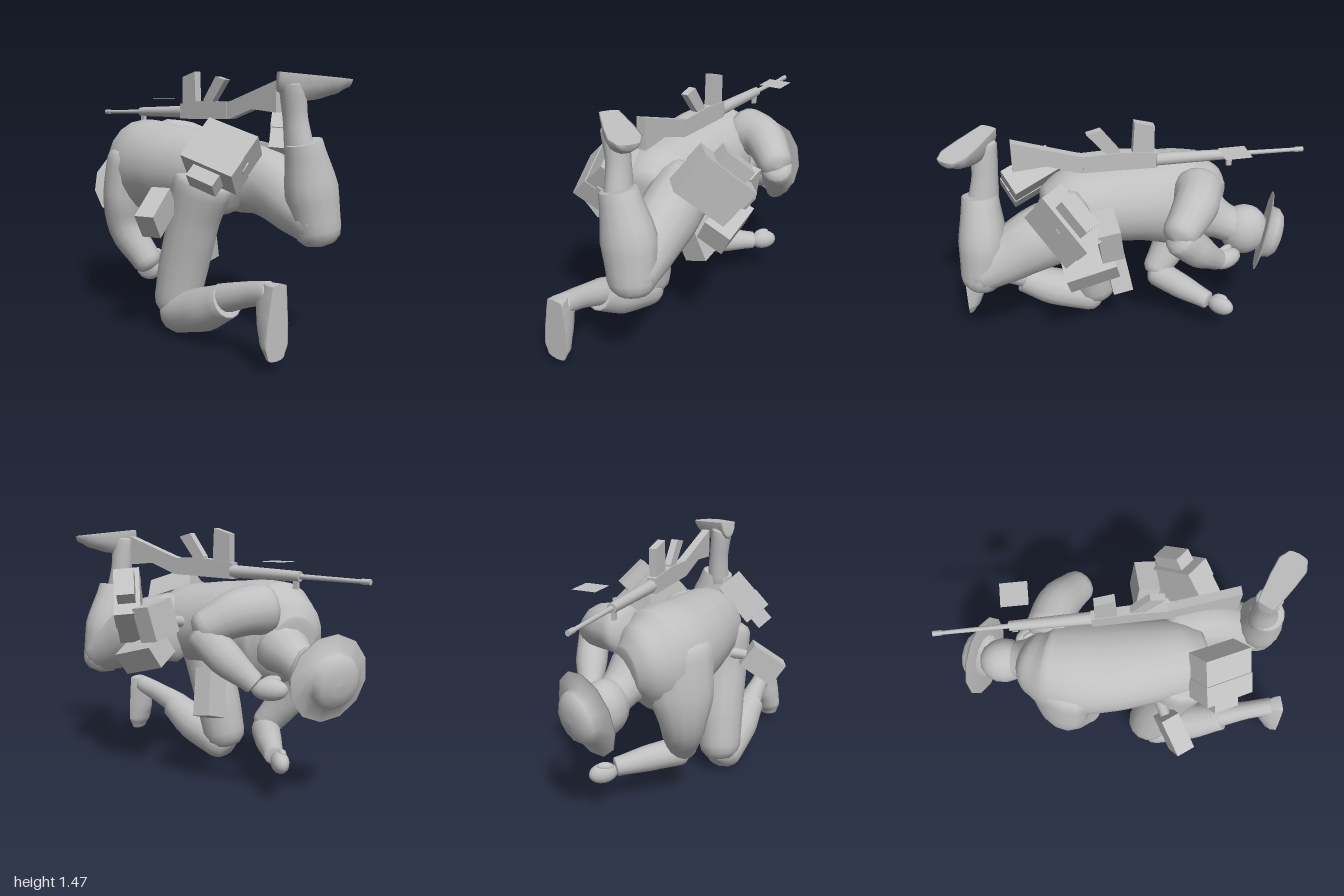
import * as THREE from 'three';

const V = (x, y, z) => new THREE.Vector3(x, y, z);
const grey = new THREE.MeshStandardMaterial({ color: 0xc0c0c0, side: THREE.DoubleSide });
grey.name = 'plainGrey';

// Lofted tube. Sections are [x, y, z, radius in the bend plane, radius along ref].
function loft(ref, sections, domeA = 0.6, domeB = 0.6, sides = 14, steps = 4) {
  const curve = new THREE.CatmullRomCurve3(sections.map(s => V(s[0], s[1], s[2])));
  const n = (sections.length - 1) * steps, rings = [];
  for (let i = 0; i <= n; i++) {
    const t = i / n, k = Math.min(Math.floor(i / steps), sections.length - 2), f = i / steps - k;
    const mix = c => THREE.MathUtils.lerp(sections[k][c], sections[k + 1][c], f * f * (3 - 2 * f) * 0.5 + f * 0.5);
    rings.push({ c: curve.getPoint(t), t: curve.getTangent(t), a: mix(3), b: mix(4) });
  }
  const cap = (r, sign, dome) => [0.4, 0.75, 1].map(h => {
    const s = h === 1 ? 0.001 : Math.sqrt(1 - h * h);
    return { c: r.c.clone().addScaledVector(r.t, sign * dome * h * Math.min(r.a, r.b)), t: r.t, a: r.a * s, b: r.b * s };
  });
  const all = [...cap(rings[0], -1, domeA).reverse(), ...rings, ...cap(rings[n], 1, domeB)];
  const pos = [], idx = [];
  all.forEach((r, i) => {
    const u = ref.clone().cross(r.t).normalize(), v = r.t.clone().cross(u);
    for (let j = 0; j < sides; j++) {
      const w = j / sides * Math.PI * 2;
      const p = r.c.clone().addScaledVector(u, Math.cos(w) * r.a).addScaledVector(v, Math.sin(w) * r.b);
      pos.push(p.x, p.y, p.z);
      if (i) {
        const a = (i - 1) * sides + j, b = (i - 1) * sides + (j + 1) % sides;
        idx.push(a, b, b + sides, a, b + sides, a + sides);
      }
    }
  });
  const g = new THREE.BufferGeometry();
  g.setAttribute('position', new THREE.Float32BufferAttribute(pos, 3));
  g.setIndex(idx);
  g.computeVertexNormals();
  return g;
}

// Foot with a flat sole on y = 0, heel at the origin and toe towards +z
function footGeometry() {
  const g = loft(V(0, 1, 0), [
    [0, 0, 0.01, 0.05, 0.1], [0, 0, 0.1, 0.062, 0.15], [0, 0, 0.2, 0.075, 0.125],
    [0, 0, 0.3, 0.082, 0.085], [0, 0, 0.36, 0.06, 0.045]], 0.2, 0.5);
  const p = g.attributes.position;
  for (let i = 0; i < p.count; i++) p.setY(i, Math.max(0, p.getY(i)));
  g.computeVertexNormals();
  return g;
}

// Turn an object so its z runs along the given direction and its y is as close to up as possible
function orient(obj, forward, up) {
  const z = forward.clone().normalize(), x = up.clone().cross(z).normalize();
  obj.quaternion.setFromRotationMatrix(new THREE.Matrix4().makeBasis(x, z.clone().cross(x), z));
}

export function createModel() {
  const model = new THREE.Group();
  model.name = 'crawlingSoldier';
  const add = (name, geo, parent = model) => {
    const m = new THREE.Mesh(geo, grey);
    m.name = name;
    parent.add(m);
    return m;
  };
  const box = (name, size, at, rot = [0, 0, 0], parent = model) => {
    const m = add(name, new THREE.BoxGeometry(...size), parent);
    m.position.set(...at);
    m.rotation.set(...rot, 'YXZ');
    return m;
  };
  const rod = (name, r0, r1, a, b, sides = 10) => {
    const d = b.clone().sub(a);
    const m = add(name, new THREE.CylinderGeometry(r1, r0, d.length(), sides));
    m.position.copy(a).addScaledVector(d, 0.5);
    m.quaternion.setFromUnitVectors(V(0, 1, 0), d.normalize());
  };
  const ball = (name, at, scale, rot = [0, 0, 0]) => {
    const m = add(name, new THREE.SphereGeometry(1, 14, 10));
    m.position.set(...at);
    m.scale.set(...scale);
    m.rotation.set(...rot);
  };
  const X = V(1, 0, 0);

  // Torso, neck and head
  add('torso', loft(X, [
    [-0.03, 0.86, 0.41, 0.19, 0.2], [-0.045, 0.89, 0.3, 0.235, 0.23], [-0.055, 0.905, 0.15, 0.24, 0.245],
    [-0.06, 0.91, -0.05, 0.255, 0.265], [-0.05, 0.9, -0.25, 0.285, 0.27], [-0.02, 0.885, -0.38, 0.295, 0.25],
    [0.02, 0.88, -0.47, 0.23, 0.2], [0.06, 0.87, -0.53, 0.14, 0.13]], 0.35, 0.1, 20));
  add('neck', loft(X, [[0.05, 0.83, -0.44, 0.16, 0.16], [0.085, 0.77, -0.56, 0.11, 0.115], [0.11, 0.72, -0.66, 0.1, 0.1]]));
  ball('head', [0.11, 0.71, -0.69], [0.13, 0.155, 0.145]);

  // Brimmed hat with a low round crown
  const hat = add('hat', new THREE.LatheGeometry([
    [0.13, -0.015], [0.238, -0.012], [0.238, -0.004], [0.155, 0.012], [0.148, 0.055], [0.115, 0.086], [0.06, 0.1], [0.001, 0.104],
  ].map(p => new THREE.Vector2(...p)), 12));
  hat.position.set(0.155, 0.71, -0.81);
  hat.quaternion.setFromUnitVectors(V(0, 1, 0), V(0.4, -0.15, -0.9).normalize());

  // Left leg, bent with the boot raised
  add('leftThigh', loft(X, [[0.11, 0.88, 0.3, 0.21, 0.16], [0.16, 0.85, 0.5, 0.19, 0.16],
    [0.165, 0.755, 0.7, 0.16, 0.15], [0.165, 0.68, 0.85, 0.13, 0.14]], 0.5, 0.8));
  add('leftShin', loft(X, [[0.17, 0.64, 0.86, 0.12, 0.13], [0.14, 0.85, 0.835, 0.135, 0.15],
    [0.08, 1.1, 0.825, 0.1, 0.1]], 0.8, 0.02));
  add('leftBootShaft', loft(X, [[0.07, 1.05, 0.81, 0.085, 0.07], [0.06, 1.22, 0.785, 0.07, 0.06],
    [0.04, 1.39, 0.78, 0.075, 0.065]], 0.1, 0.3));

  // Right leg, kneeling
  add('rightThigh', loft(X, [[-0.17, 0.86, 0.33, 0.19, 0.15], [-0.185, 0.65, 0.275, 0.15, 0.14],
    [-0.195, 0.4, 0.205, 0.145, 0.14], [-0.21, 0.19, 0.165, 0.135, 0.13]], 0.5, 0.9));
  add('rightShin', loft(X, [[-0.22, 0.12, 0.2, 0.12, 0.125], [-0.235, 0.19, 0.43, 0.12, 0.12],
    [-0.25, 0.28, 0.62, 0.095, 0.09]], 0.8, 0.02));
  add('rightBootShaft', loft(X, [[-0.25, 0.28, 0.57, 0.08, 0.075], [-0.25, 0.35, 0.78, 0.065, 0.055],
    [-0.25, 0.385, 0.92, 0.06, 0.055]], 0.1, 0.4));

  // Boots: heel position, toe direction, direction away from the sole
  for (const [name, heel, toe, up] of [
    ['leftBoot', V(-0.025, 1.455, 0.735), V(0.76, -0.1, 0.62), V(0, -1, 0)],
    ['rightBoot', V(-0.25, 0.44, 0.985), V(-0.05, -1, 0), V(0, 0, -1)]]) {
    const m = add(name, footGeometry());
    orient(m, toe, up);
    m.position.copy(heel);
  }

  // Left arm, elbow out to the side
  const L = V(0.115, 0.04, -0.095);
  add('leftUpperArm', loft(L, [[0.15, 1.04, -0.38, 0.14, 0.14], [0.29, 1.03, -0.33, 0.13, 0.125], [0.43, 0.95, -0.21, 0.1, 0.1]], 0.5, 0.7));
  add('leftForearm', loft(L, [[0.44, 0.92, -0.21, 0.1, 0.09], [0.4, 0.8, -0.32, 0.095, 0.09], [0.33, 0.67, -0.46, 0.06, 0.06]], 0.6, 0.2));
  ball('leftHand', [0.29, 0.64, -0.53], [0.055, 0.06, 0.1], [0, 0.4, 0]);
  ball('leftThumb', [0.27, 0.68, -0.52], [0.022, 0.03, 0.06], [0.3, 0.4, 0]);

  // Right arm, propped on the elbow with the forearm across
  const R = V(0.22, 0.11, 0.215);
  add('rightUpperArm', loft(R, [[-0.14, 0.93, -0.36, 0.22, 0.15], [-0.19, 0.72, -0.37, 0.185, 0.13],
    [-0.19, 0.52, -0.35, 0.13, 0.11], [-0.13, 0.33, -0.23, 0.09, 0.09]], 0.6, 0.8));
  add('rightForearm', loft(R, [[-0.11, 0.29, -0.23, 0.085, 0.085], [0.02, 0.27, -0.34, 0.08, 0.075],
    [0.17, 0.245, -0.48, 0.055, 0.055]], 0.7, 0.2));
  ball('rightHand', [0.215, 0.23, -0.55], [0.085, 0.06, 0.05], [0, 0.8, 0]);
  ball('rightThumb', [0.2, 0.275, -0.55], [0.05, 0.025, 0.025], [0, 0.8, 0.2]);

  // Hip packs: centre, depth direction, pouch direction, size, pouch size
  for (const [name, at, depth, out, size, pouch, side] of [
    ['leftPack', V(0.37, 1.025, 0.41), V(0.66, -0.085, 0.75), V(0.54, 0.75, -0.39), [0.35, 0.25, 0.14], [0.2, 0.08, 0.1], 1],
    ['rightPack', V(-0.21, 1.03, 0.53), V(0.31, -0.31, 0.9), V(0.7, 0.7, 0), [0.16, 0.27, 0.3], [0.1, 0.08, 0.16], -1]]) {
    const pack = new THREE.Group(), [w, h, d] = size;
    pack.name = name;
    pack.position.copy(at);
    orient(pack, depth, out);
    model.add(pack);
    box('packBody', size, [0, 0, 0], [0, 0, 0], pack);
    box('packLid', [w + 0.01, h * 0.45, d + 0.01], [0, side * h * 0.28, 0], [0, 0, 0], pack);
    box('packPouch', pouch, [0, side * (h / 2 + 0.035), 0], [0, 0, 0], pack);
    box('packBuckle', [0.03, 0.06, 0.009], [0, side * h * 0.08, d / 2 + 0.005], [0, 0, 0], pack);
  }

  // Belt pouches and their studs
  box('rightBeltPouch', [0.23, 0.15, 0.11], [-0.435, 0.72, 0.26], [0, 0.42, 0.6]);
  rod('rightPouchStud', 0.035, 0.03, V(-0.26, 0.78, 0.2), V(-0.35, 0.77, 0.22));
  box('leftLowerPouch', [0.16, 0.14, 0.28], [0.38, 0.76, 0.28], [0.25, 0, -0.5]);
  box('leftUpperPouch', [0.2, 0.2, 0.12], [0.39, 0.96, 0.18], [0.15, 0, -0.2]);
  rod('leftPouchStud', 0.035, 0.03, V(0.18, 0.93, 0.18), V(0.3, 0.95, 0.18));
  box('holster', [0.15, 0.29, 0.12], [0.045, 0.495, 0.07], [0.18, 0, 0.3]);

  // Rifle lying upside down on the back; side profiles are [z, y]
  const side = (name, pts, width) => {
    const shape = new THREE.Shape(pts.map(p => new THREE.Vector2(...p)));
    const m = add(name, new THREE.ExtrudeGeometry(shape, { depth: width, bevelEnabled: false }));
    m.rotation.y = -Math.PI / 2;
    m.position.x = 0.095 + width / 2;
  };
  side('rifleStock', [[0.64, 1.245], [0.46, 1.26], [0.28, 1.2], [0.24, 1.2], [0.24, 1.29], [0.3, 1.305], [0.44, 1.35], [0.64, 1.415]], 0.05);
  side('rifleReceiver', [[0.26, 1.2], [-0.15, 1.19], [-0.15, 1.28], [0.06, 1.3], [0.26, 1.295]], 0.055);
  side('rifleGrip', [[0.13, 1.29], [0.06, 1.29], [0.06, 1.31], [0.16, 1.44], [0.24, 1.42]], 0.04);
  side('rifleMagazine', [[-0.01, 1.28], [-0.13, 1.27], [-0.13, 1.44], [-0.02, 1.47]], 0.045);
  rod('rifleHandguard', 0.036, 0.028, V(0.1, 1.232, -0.14), V(0.105, 1.222, -0.59));
  rod('rifleBarrel', 0.014, 0.011, V(0.105, 1.222, -0.58), V(0.108, 1.212, -0.985));
  rod('rifleMuzzle', 0.015, 0.015, V(0.108, 1.213, -0.95), V(0.108, 1.212, -1));
  box('rifleSight', [0.02, 0.05, 0.03], [0.105, 1.18, -0.565]);

  // Thin loose square above the left shoulder
  const plate = add('shoulderPlate', new THREE.PlaneGeometry(0.14, 0.15));
  plate.rotation.x = -Math.PI / 2;
  plate.position.set(0.25, 1.305, -0.545);

  return model;
}
